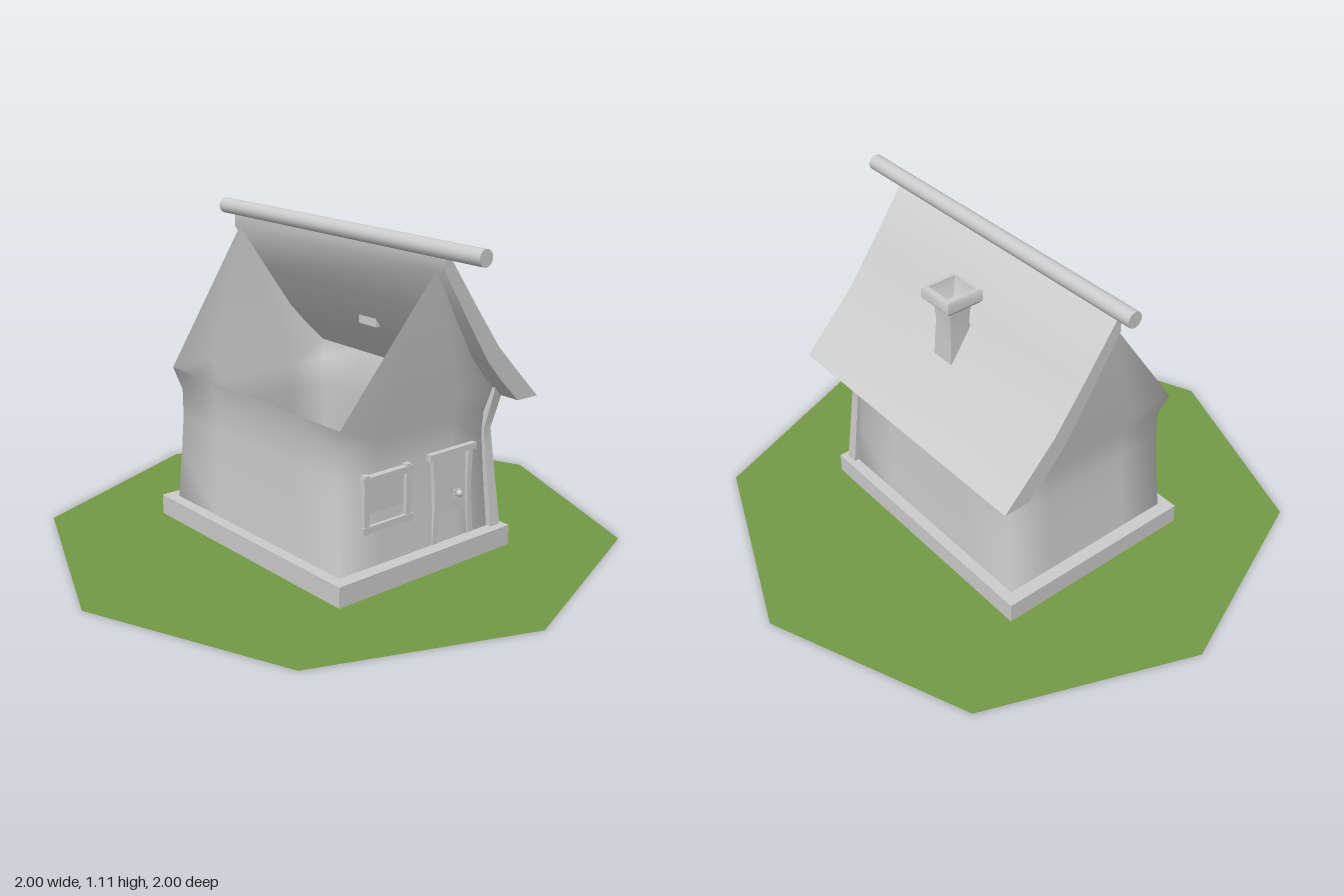
import * as THREE from 'three';
import { toCreasedNormals } from 'three/addons/utils/BufferGeometryUtils.js';

const grey = new THREE.MeshStandardMaterial({ color: 0xcccccc });
const greyThin = new THREE.MeshStandardMaterial({ color: 0xcccccc, side: THREE.DoubleSide });
const green = new THREE.MeshStandardMaterial({ color: 0x729a43, side: THREE.DoubleSide });

function add(parent, name, geometry, x = 0, y = 0, z = 0, material = grey) {
  const mesh = new THREE.Mesh(geometry, material);
  mesh.name = name;
  mesh.position.set(x, y, z);
  parent.add(mesh);
  return mesh;
}

// Outline pushed along z, centred on z = 0
function slab(points, depth) {
  const shape = new THREE.Shape(points.map(([x, y]) => new THREE.Vector2(x, y)));
  const g = new THREE.ExtrudeGeometry(shape, { depth, bevelEnabled: false });
  g.translate(0, 0, -depth / 2);
  return toCreasedNormals(g, 0.7);
}

// Walls: stacked rectangular rings with a waist, plus two leaning gables
function wallGeometry() {
  const levels = [[0.07, 0.342, 0.453], [0.25, 0.332, 0.438], [0.38, 0.325, 0.431],
    [0.48, 0.325, 0.431], [0.56, 0.345, 0.457]];
  const sides = [[1, 1, -1, 0], [1, -1, 0, -1], [-1, -1, 1, 0], [-1, 1, 0, 1]];
  const steps = 4, n = steps * 4;
  const pos = [], idx = [];
  for (const [y, w, d] of levels) {
    // start each side at a corner and walk to the next one
    sides.forEach(([cx, cz], s) => {
      const [nx, nz] = sides[(s + 1) % 4];
      for (let i = 0; i < steps; i++) {
        const t = i / steps;
        pos.push(w * (cx + (nx - cx) * t), y, d * (cz + (nz - cz) * t));
      }
    });
  }
  for (let l = 0; l < levels.length - 1; l++) {
    for (let i = 0; i < n; i++) {
      const a = l * n + i, b = l * n + (i + 1) % n;
      idx.push(a, a + n, b, b, a + n, b + n);
    }
  }
  const top = (levels.length - 1) * n;
  // sides 1 (back) and 3 (front) carry the gables
  for (const s of [1, 3]) {
    const apex = pos.length / 3;
    pos.push(0, 1.025, s === 3 ? 0.51 : -0.51);
    for (let i = 0; i < steps; i++) {
      const a = s * steps + i;
      idx.push(top + a, apex, top + (a + 1) % n);
    }
  }
  const g = new THREE.BufferGeometry();
  g.setAttribute('position', new THREE.Float32BufferAttribute(pos, 3));
  g.setIndex(idx);
  g.computeVertexNormals();
  return g;
}

// Bent corner post, thinner at the waist
function postGeometry() {
  const g = new THREE.BoxGeometry(1, 0.52, 1, 1, 6, 1);
  const p = g.attributes.position;
  for (let i = 0; i < p.count; i++) {
    const y = p.getY(i) + 0.335;
    const bend = y < 0.42 ? (0.42 - y) / 0.345 : (y - 0.42) / 0.16;
    const width = 0.032 + 0.011 * Math.min(bend, 1);
    p.setXYZ(i, 0.32 + 0.02 * bend + p.getX(i) * width, y, 0.425 + 0.029 * bend + p.getZ(i) * width);
  }
  return toCreasedNormals(g, 0.7);
}

export function createModel() {
  const model = new THREE.Group();
  model.name = 'cottage';

  // Octagonal lawn
  const lawn = new THREE.CircleGeometry(1, 8);
  lawn.rotateX(-Math.PI / 2);
  const p = lawn.attributes.position;
  for (let i = 0; i < p.count; i++) {
    if (Math.abs(p.getX(i)) > 0.1 && Math.abs(p.getZ(i)) > 0.1) {
      p.setX(i, Math.sign(p.getX(i)) * 0.715);
      p.setZ(i, Math.sign(p.getZ(i)) * 0.715);
    }
  }
  add(model, 'lawn', lawn, 0, 0, 0, green);

  // Foundation ring
  const rect = (Type, w, d) => new Type([[-w, -d], [w, -d], [w, d], [-w, d]].map(([x, y]) => new THREE.Vector2(x, y)));
  const base = rect(THREE.Shape, 0.382, 0.5);
  base.holes.push(rect(THREE.Path, 0.3, 0.395));
  const foundation = new THREE.ExtrudeGeometry(base, { depth: 0.072, bevelEnabled: false });
  foundation.rotateX(-Math.PI / 2);
  add(model, 'foundation', foundation);

  add(model, 'walls', wallGeometry(), 0, 0, 0, greyThin);
  add(model, 'cornerPost', postGeometry());

  // Half roof with a sagging slope, and the ridge pole
  add(model, 'roof', slab([[0, 1.015], [0.1, 0.855], [0.2, 0.7], [0.27, 0.62], [0.35, 0.54],
    [0.445, 0.538], [0.35, 0.635], [0.25, 0.74], [0.14, 0.89], [0.02, 1.06], [0, 1.07]], 1.09));
  const pole = new THREE.CylinderGeometry(0.028, 0.028, 1.31, 16);
  pole.rotateX(Math.PI / 2);
  add(model, 'ridgePole', pole, 0, 1.085, 0.055);

  // Square chimney with a hollow cap
  const profile = [[0, 0.72], [0.045, 0.72], [0.043, 0.78], [0.038, 0.87], [0.042, 0.935], [0.06, 0.938],
    [0.07, 0.95], [0.07, 0.982], [0.065, 0.99], [0.053, 0.99], [0.048, 0.965], [0.03, 0.93], [0, 0.93]];
  const chimney = new THREE.LatheGeometry(profile.map(([r, y]) => new THREE.Vector2(r * Math.SQRT2, y)), 4, Math.PI / 4);
  add(model, 'chimney', toCreasedNormals(chimney, 0.6), 0.212, 0, 0);

  // Window frame with overlapping bars
  const windowFrame = new THREE.Group();
  windowFrame.name = 'window';
  model.add(windowFrame);
  for (const y of [0.202, 0.368]) {
    add(windowFrame, 'windowRail', new THREE.BoxGeometry(0.212, 0.022, 0.034), -0.137, y, 0.437);
  }
  for (const x of [-0.227, -0.048]) {
    add(windowFrame, 'windowStile', new THREE.BoxGeometry(0.022, 0.2, 0.03), x, 0.285, 0.437);
  }
  add(windowFrame, 'windowPane', new THREE.BoxGeometry(0.17, 0.16, 0.006), -0.137, 0.285, 0.435);

  // Door with bowed jambs, lintel and handle
  const door = new THREE.Group();
  door.name = 'door';
  door.position.set(0.153, 0, 0.441);
  door.rotation.x = -0.025;
  model.add(door);
  for (const s of [1, -1]) {
    const outline = [[0.095, 0.073], [0.086, 0.2], [0.086, 0.28], [0.093, 0.37],
      [0.072, 0.37], [0.066, 0.28], [0.066, 0.2], [0.071, 0.073]];
    add(door, 'doorJamb', slab(outline.map(([x, y]) => [s * x, y]), 0.036));
  }
  add(door, 'doorLintel', new THREE.BoxGeometry(0.21, 0.022, 0.042), 0, 0.378, 0);
  add(door, 'doorPanel', new THREE.BoxGeometry(0.136, 0.295, 0.016), 0, 0.22, 0);
  add(door, 'handlePlate', new THREE.BoxGeometry(0.028, 0.028, 0.024), 0.026, 0.225, 0);
  add(door, 'doorKnob', new THREE.SphereGeometry(0.012, 12, 8), 0.026, 0.228, 0.022);
  add(door, 'innerKnob', new THREE.SphereGeometry(0.012, 12, 8), 0.026, 0.228, -0.024);

  return model;
}
